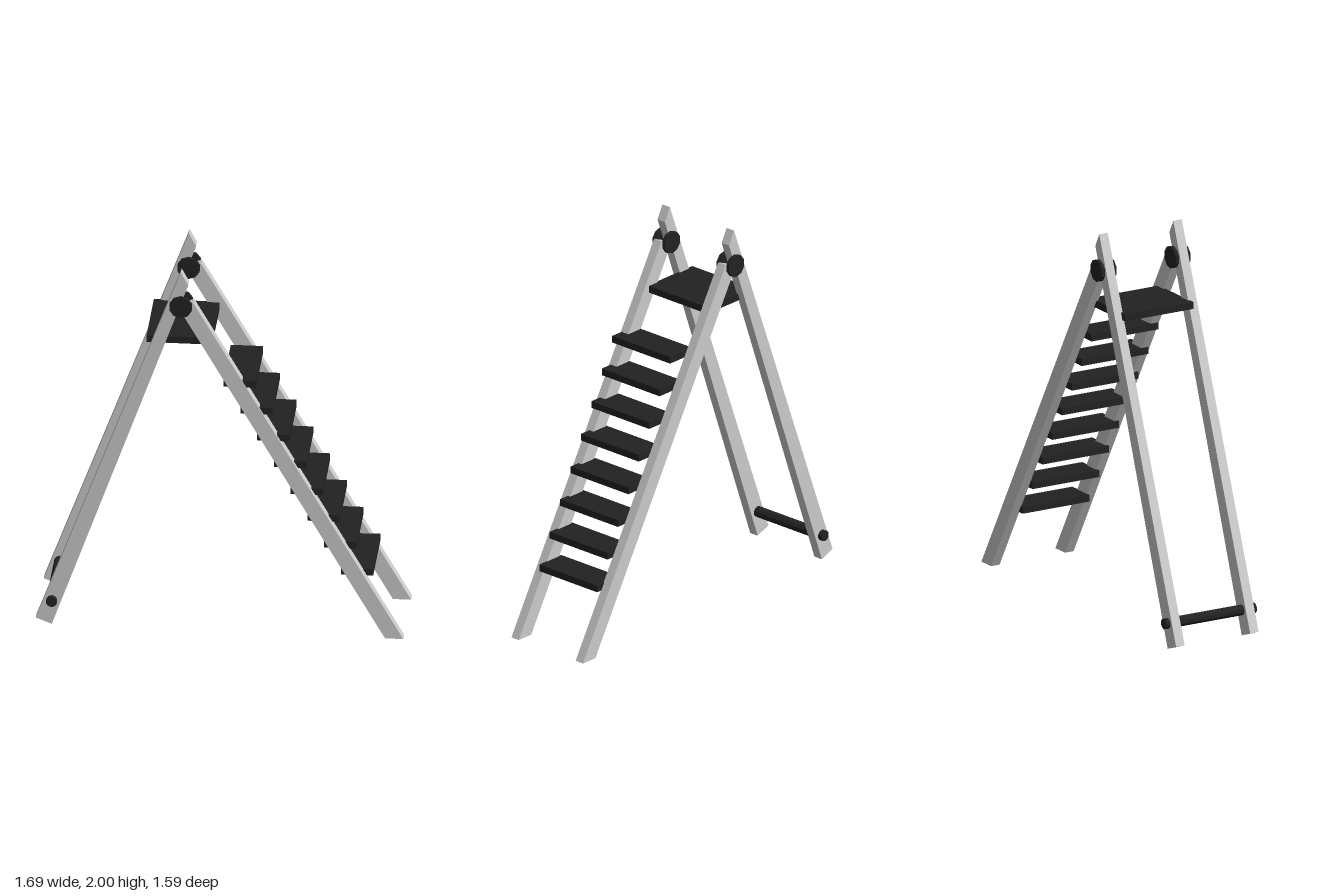
import * as THREE from 'three';

const grey = new THREE.MeshStandardMaterial({ color: 0xcccccc, flatShading: true });
const dark = new THREE.MeshStandardMaterial({ color: 0x222222, flatShading: true });

const RAIL_Z = 0.2175; // half the distance between the two side frames
const RAIL_T = 0.05;   // rail thickness

export function createModel() {
  const model = new THREE.Group();
  model.name = 'stepladder';

  // Built along x, then turned to stand diagonally
  const ladder = new THREE.Group();
  ladder.name = 'ladderBody';
  ladder.rotation.y = THREE.MathUtils.degToRad(42.1);
  model.add(ladder);

  const add = (name, geometry, material, x, y, z) => {
    const mesh = new THREE.Mesh(geometry, material);
    mesh.name = name;
    mesh.position.set(x, y, z);
    ladder.add(mesh);
    return mesh;
  };

  // Rail from its side profile, centred on its thickness
  const railGeometry = (points) => {
    const shape = new THREE.Shape(points.map(([x, y]) => new THREE.Vector2(x, y)));
    return new THREE.ExtrudeGeometry(shape, { depth: RAIL_T, bevelEnabled: false })
      .translate(0, 0, -RAIL_T / 2);
  };
  const supportLeg = railGeometry([[-0.922, 0.035], [-0.842, 0.004], [-0.158, 1.93], [-0.195, 2]]);
  const stepRail = railGeometry([[0.828, 0], [0.92, 0], [-0.133, 1.833], [-0.207, 1.802]]);

  // Round bar or disc lying across the ladder
  const round = (radius, length, sides) =>
    new THREE.CylinderGeometry(radius, radius, length, sides).rotateX(Math.PI / 2);

  // Side frames: support leg, step rail and a hinge disc on each face
  for (const [side, label] of [[1, 'left'], [-1, 'right']]) {
    add(label + 'SupportLeg', supportLeg, grey, 0, 0, side * RAIL_Z);
    add(label + 'StepRail', stepRail, grey, 0, 0, side * RAIL_Z);
    for (const face of [1, -1]) {
      add(label + 'HingeDisc', round(0.058, 0.02, 10), dark,
        -0.195, 1.812, side * RAIL_Z + face * 0.033);
    }
  }

  // Top platform
  add('platform', new THREE.BoxGeometry(0.33, 0.036, 0.404), dark, -0.206, 1.602, 0);

  // Steps, drifting slightly sideways towards the top
  const STEPS = 8;
  for (let i = 0; i < STEPS; i++) {
    const t = i / (STEPS - 1);
    add('step' + (i + 1), new THREE.BoxGeometry(0.162, 0.036, 0.392), dark,
      THREE.MathUtils.lerp(0.1, 0.684, t),
      THREE.MathUtils.lerp(1.388, 0.343, t),
      THREE.MathUtils.lerp(0.042, 0, t));
  }

  // Bar joining the feet of the support legs
  add('crossBar', round(0.028, 0.53, 10), dark, -0.842, 0.137, 0);

  return model;
}
